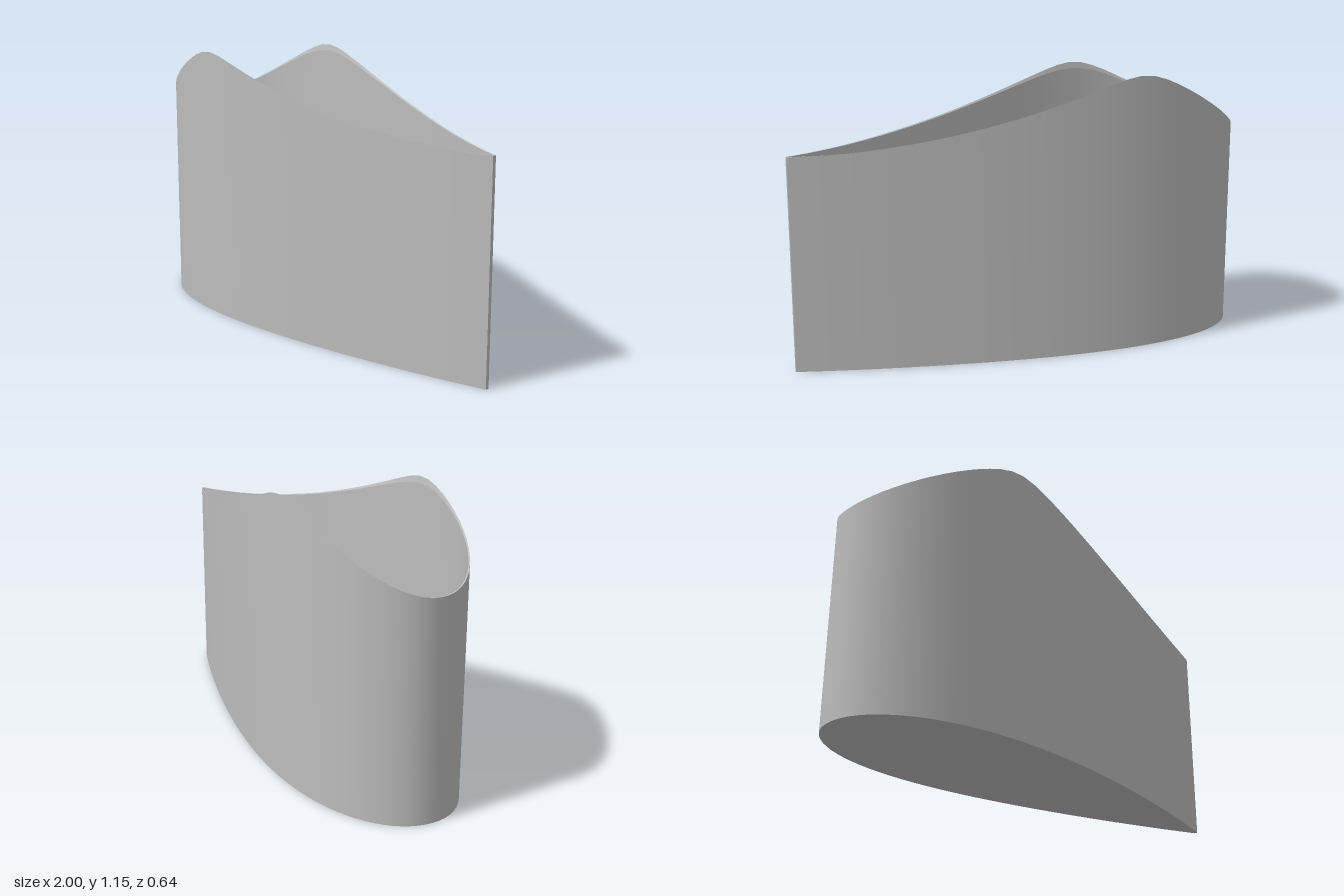
import * as THREE from 'three';

const N = 48;            // stations along each side
const WALL = 0.005;      // wall and floor thickness
const SADDLE_LOW = 0.87; // lowest height of the cylindrical saddle cut
const SADDLE_R = 0.323;  // radius of the saddle cut

// Half thickness of a symmetric teardrop section at chord fraction c
const halfWidth = (c) => 3.2 * (0.2969 * Math.sqrt(c) - 0.126 * c - 0.3516 * c ** 2
  + 0.2843 * c ** 3 - 0.1015 * c ** 4);

const saddle = (z) => SADDLE_LOW + SADDLE_R - Math.sqrt(SADDLE_R ** 2 - z * z);

// Section outline from the trailing edge, round the nose, and back: [x, z]
function outline() {
  const pts = [];
  for (let i = 0; i <= 2 * N; i++) {
    const c = Math.max(0, (1 + Math.cos((i / N) * Math.PI)) / 2);
    pts.push([2 * c - 1, (i <= N ? 1 : -1) * halfWidth(c)]);
  }
  return pts;
}

// Outline moved inward by the wall thickness
function inset(pts) {
  return pts.map(([x, z], i) => {
    const a = pts[Math.max(i - 1, 0)], b = pts[Math.min(i + 1, 2 * N)];
    const dx = b[0] - a[0], dz = b[1] - a[1], l = Math.hypot(dx, dz);
    const zi = z - (-dx / l) * WALL;
    return [Math.min(x - (dz / l) * WALL, 1 - WALL), i === N ? 0 : zi];
  });
}

// Surface between two rows of points
function strip(a, b) {
  const idx = [], n = a.length;
  for (let i = 0; i < n - 1; i++) idx.push(i, i + 1, n + i, i + 1, n + i + 1, n + i);
  const g = new THREE.BufferGeometry();
  g.setAttribute('position', new THREE.Float32BufferAttribute([...a, ...b].flat(), 3));
  g.setIndex(idx);
  g.computeVertexNormals();
  return g;
}

export function createModel() {
  const group = new THREE.Group();
  group.name = 'fairing';
  const grey = new THREE.MeshStandardMaterial({ color: 0xbcbcbc, side: THREE.DoubleSide });
  grey.name = 'grey';

  const add = (name, a, b) => {
    const mesh = new THREE.Mesh(strip(a, b), grey);
    mesh.name = name;
    group.add(mesh);
  };
  const level = (pts, y) => pts.map(([x, z]) => [x, y, z]);
  const cut = (pts) => pts.map(([x, z]) => [x, saddle(z), z]);
  const centre = (pts, y) => pts.map(([x]) => [x, y, 0]);
  const ends = (row) => [row[row.length - 1], row[0]];

  const outer = outline(), inner = inset(outer);
  const outerTop = cut(outer), outerBase = level(outer, 0);
  const innerTop = cut(inner), innerBase = level(inner, WALL);

  // Curved walls and the narrow rim between them
  add('outerWall', outerTop, outerBase);
  add('innerWall', innerBase, innerTop);
  add('rim', innerTop, outerTop);

  // Blunt trailing edge
  add('trailingEdge', ends(outerTop), ends(outerBase));
  add('innerTrailingEdge', ends(innerBase), ends(innerTop));
  add('trailingRim', ends(innerTop), ends(outerTop));

  // Closed underside and the floor inside
  add('underside', outerBase, centre(outer, 0));
  add('floor', centre(inner, WALL), innerBase);
  return group;
}
